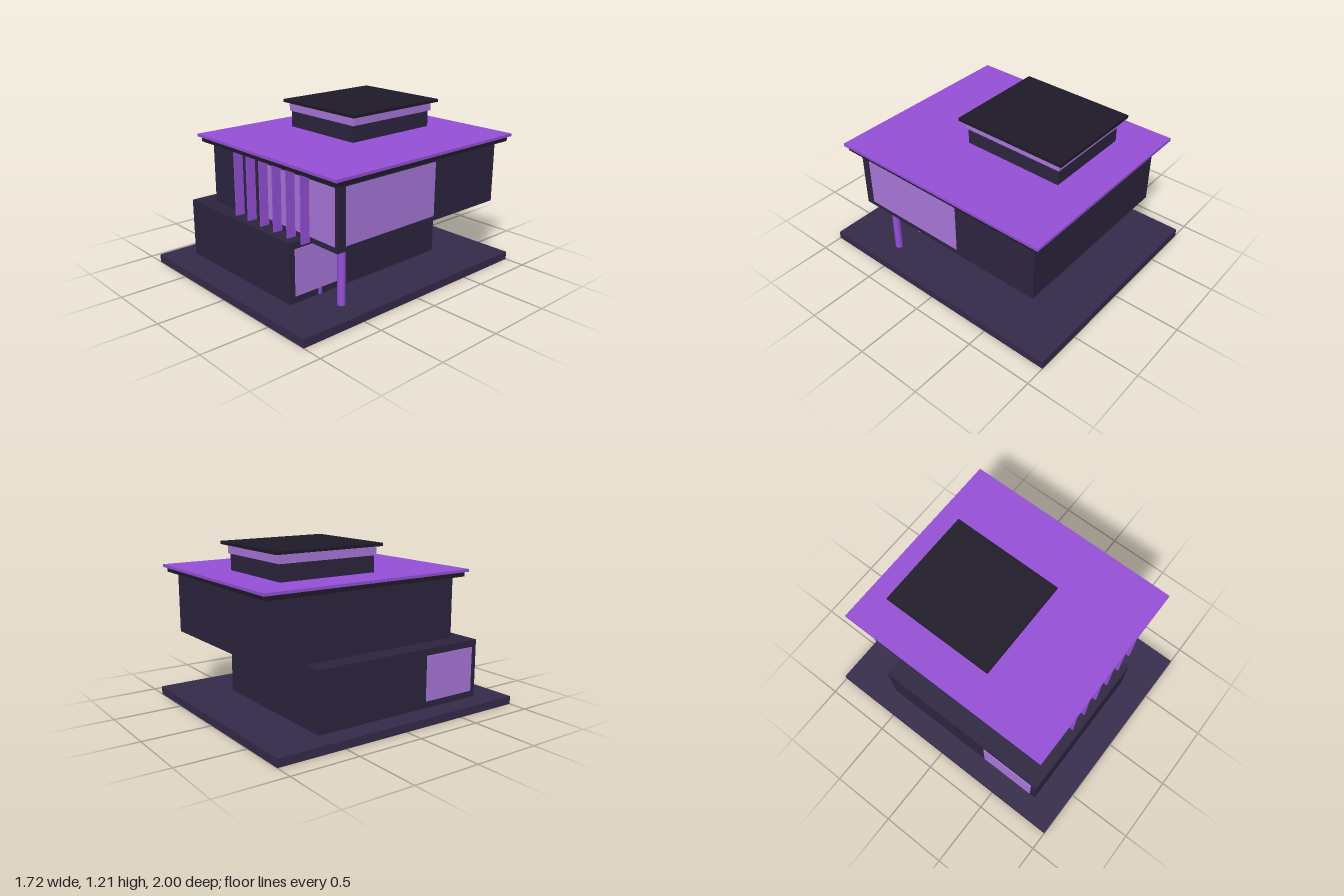
import * as THREE from 'three';

const mat = (color) => new THREE.MeshStandardMaterial({ color });

export function createModel() {
  const house = new THREE.Group();
  house.name = 'house';
  const wall = mat(0x2d2540), plinth = mat(0x352b4b), dark = mat(0x1f1a28);
  const accent = mat(0x9650d8), glass = mat(0xab78dc);

  // Box given by its extents along each axis
  const box = (name, material, [x0, x1], [y0, y1], [z0, z1]) => {
    const mesh = new THREE.Mesh(new THREE.BoxGeometry(x1 - x0, y1 - y0, z1 - z0), material);
    mesh.position.set((x0 + x1) / 2, (y0 + y1) / 2, (z0 + z1) / 2);
    mesh.name = name;
    house.add(mesh);
  };

  // Ground slab and the two stacked storeys
  box('groundSlab', plinth, [-0.86, 0.85], [0, 0.06], [-1, 1]);
  box('lowerStorey', wall, [-0.7, 0.45], [0.06, 0.49], [-0.6, 0.785]);
  box('upperStorey', wall, [-0.555, 0.78], [0.49, 0.945], [-0.855, 0.67]);

  // Windows, slightly proud of the walls
  box('lowerLeftWindow', glass, [0.445, 0.457], [0.11, 0.44], [0.31, 0.74]);
  box('lowerRightWindow', glass, [-0.707, -0.695], [0.11, 0.44], [0.31, 0.74]);
  box('upperFrontWindow', glass, [-0.01, 0.757], [0.53, 0.91], [0.665, 0.674]);
  box('upperSideWindow', glass, [0.775, 0.784], [0.525, 0.91], [-0.21, 0.6]);

  // Vertical sun fins across the upper front
  for (let i = 0; i < 6; i++) {
    const x = -0.2 + i * 0.143;
    box('sunFin', accent, [x - 0.005, x + 0.005], [0.49, 0.945], [0.67, 0.74]);
  }

  // Main roof: dark eave under a thin coloured sheet
  box('eave', dark, [-0.615, 0.84], [0.945, 0.98], [-0.915, 0.73]);
  box('roofSheet', accent, [-0.637, 0.86], [0.98, 1.0], [-0.94, 0.75]);

  // Rooftop lantern with window band and cap
  box('lanternBody', wall, [-0.365, 0.3], [1.0, 1.185], [-0.663, 0.098]);
  box('lanternWindowBand', glass, [-0.378, 0.314], [1.12, 1.178], [-0.676, 0.108]);
  box('lanternCap', dark, [-0.41, 0.35], [1.184, 1.206], [-0.715, 0.14]);

  // Columns: one free-standing, one half sunk in the lower wall
  for (const x of [0.66, 0.427]) {
    const column = new THREE.Mesh(new THREE.CylinderGeometry(0.028, 0.028, 0.43, 16), accent);
    column.position.set(x, 0.275, 0.527);
    column.name = 'column';
    house.add(column);
  }
  return house;
}
